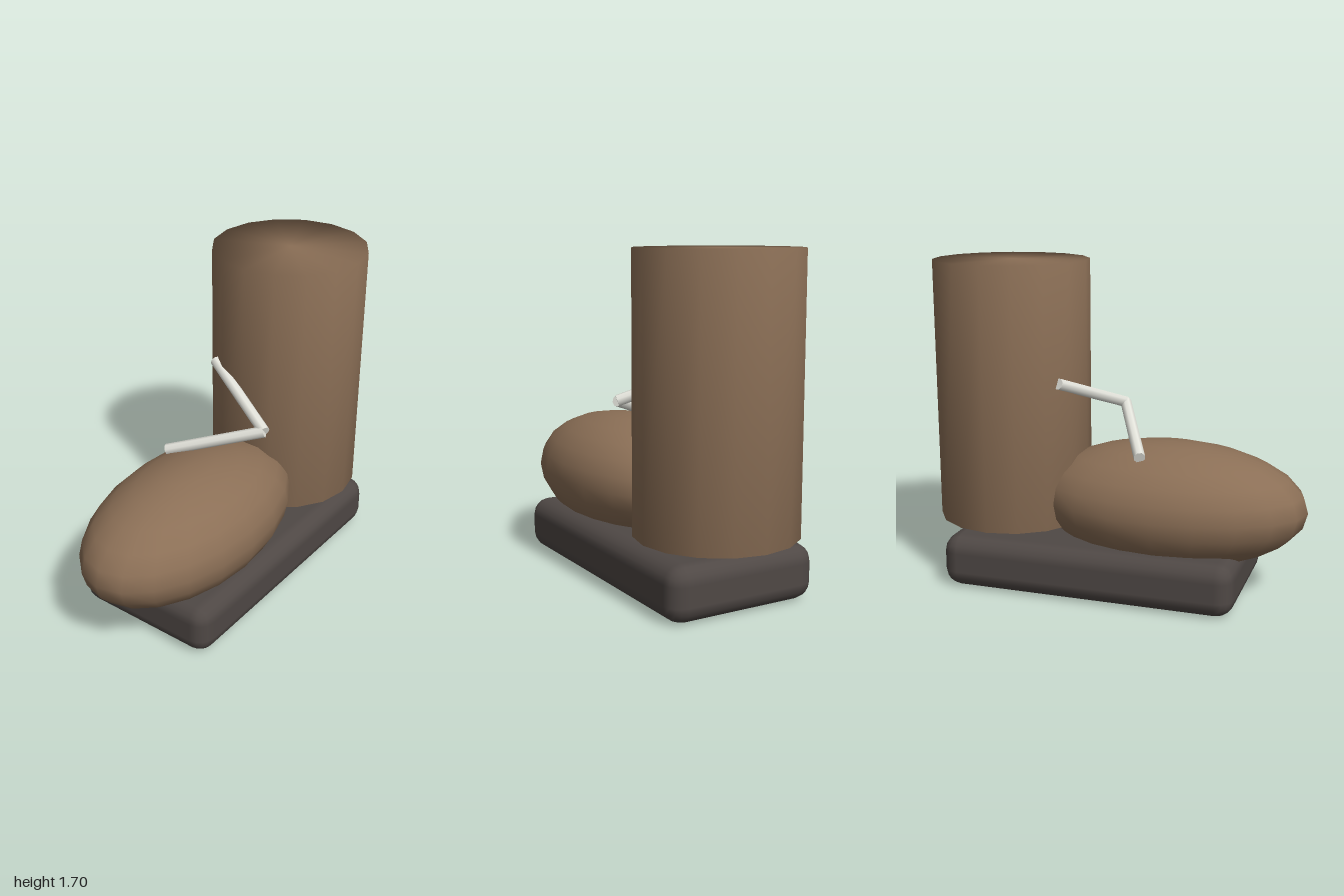
import * as THREE from 'three';
import { mergeVertices } from 'three/addons/utils/BufferGeometryUtils.js';
import { RoundedBoxGeometry } from 'three/addons/geometries/RoundedBoxGeometry.js';

const leather = new THREE.MeshStandardMaterial({ color: 0x8b6f56 });
const rubber = new THREE.MeshStandardMaterial({ color: 0x4f4845 });
const cord = new THREE.MeshStandardMaterial({ color: 0xe4e4dc });

// Weld the seams so the shading runs smoothly over every edge
function smooth(geometry) {
  geometry.deleteAttribute('uv');
  geometry.deleteAttribute('normal');
  const welded = mergeVertices(geometry, 1e-4);
  welded.computeVertexNormals();
  return welded;
}

export function createModel() {
  const boot = new THREE.Group();
  boot.name = 'boot';

  const add = (name, geometry, material, x = 0, y = 0, z = 0) => {
    const mesh = new THREE.Mesh(geometry, material);
    mesh.name = name;
    mesh.position.set(x, y, z);
    boot.add(mesh);
    return mesh;
  };

  // Sole: thick slab with bevelled edges
  add('sole', new RoundedBoxGeometry(0.82, 0.28, 1.56, 2, 0.09), rubber, 0, 0.14, -0.08);

  // Shaft: closed upright cylinder at the heel
  add('shaft', smooth(new THREE.CylinderGeometry(0.41, 0.41, 1.37, 16)), leather, 0, 1.015, -0.59);

  // Toe: long ellipsoid sunk into the sole and shaft
  const toe = new THREE.SphereGeometry(1, 20, 12).scale(0.41, 0.322, 0.72);
  add('toe', smooth(toe), leather, 0, 0.466, 0.28);

  // Laces: two straight cords meeting at a bend
  const points = [[-0.23, 0.75, 0.18], [0.24, 0.922, -0.04], [-0.23, 1.1, -0.25]]
    .map((p) => new THREE.Vector3(...p));
  const up = new THREE.Vector3(0, 1, 0);
  ['lowerLace', 'upperLace'].forEach((name, i) => {
    const along = points[i + 1].clone().sub(points[i]);
    const lace = add(name, new THREE.CylinderGeometry(0.03, 0.03, along.length(), 8), cord);
    lace.position.copy(points[i]).addScaledVector(along, 0.5);
    lace.quaternion.setFromUnitVectors(up, along.normalize());
  });

  return boot;
}
